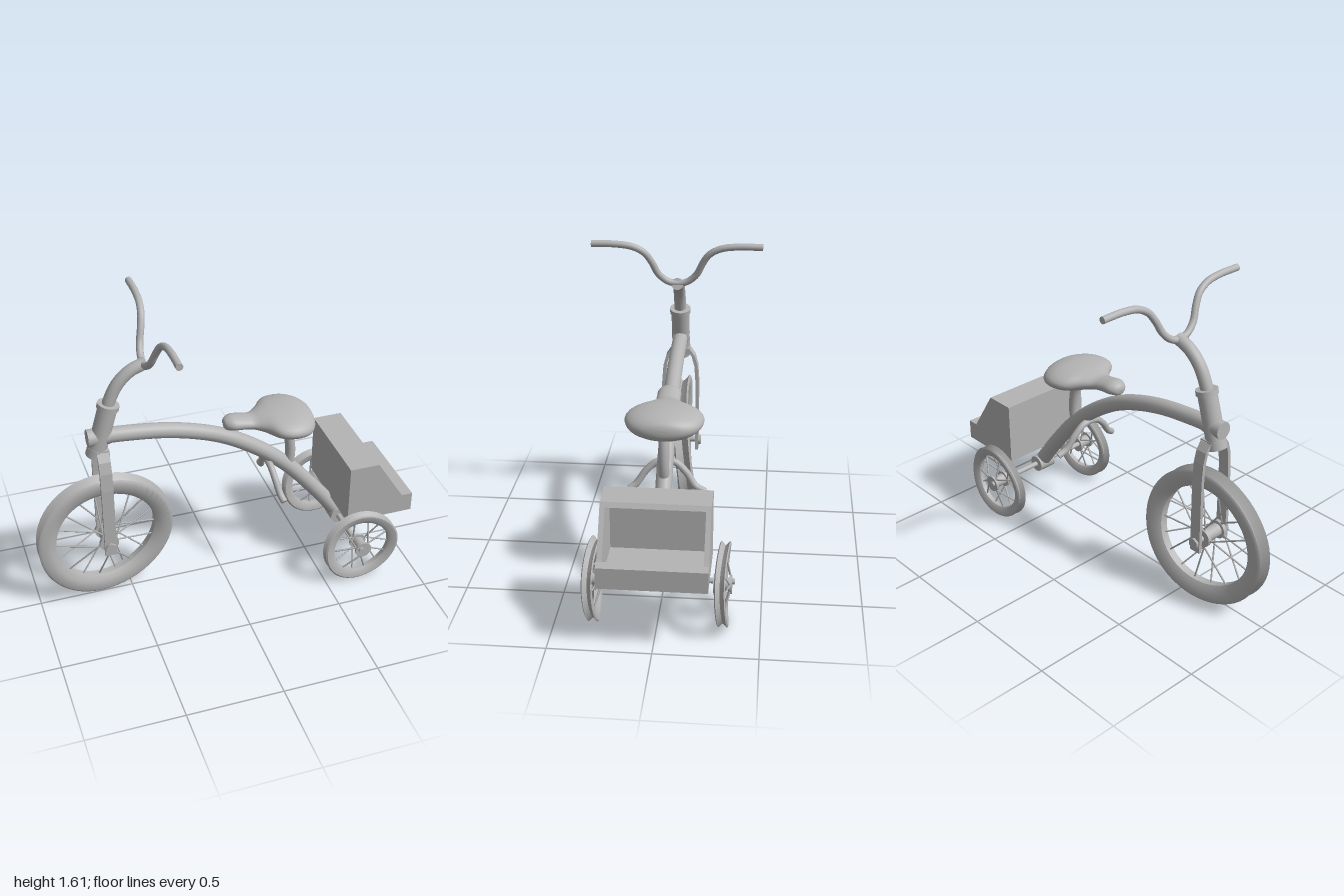
import * as THREE from 'three';
import { toCreasedNormals } from 'three/addons/utils/BufferGeometryUtils.js';

const grey = new THREE.MeshStandardMaterial({ color: 0xb4b4b4, side: THREE.DoubleSide });
grey.name = 'plain grey';
const V = (x, y, z = 0) => new THREE.Vector3(x, y, z);

function add(parent, name, geometry) {
  const mesh = new THREE.Mesh(geometry, grey);
  mesh.name = name;
  parent.add(mesh);
  return mesh;
}

// Straight round bar between two points
function rod(parent, name, a, b, r, r2 = r, sides = 20) {
  const mesh = add(parent, name, new THREE.CylinderGeometry(r2, r, a.distanceTo(b), sides));
  mesh.position.copy(a).add(b).multiplyScalar(0.5);
  mesh.quaternion.setFromUnitVectors(V(0, 1, 0), b.clone().sub(a).normalize());
  return mesh;
}

// Bent tube with flat end caps
function pipe(parent, name, points, r, segments = 48) {
  const curve = new THREE.CatmullRomCurve3(points);
  add(parent, name, new THREE.TubeGeometry(curve, segments, r, 16));
  for (const [t, sign] of [[0, -1], [1, 1]]) {
    const cap = add(parent, name + 'End', new THREE.CircleGeometry(r, 16));
    cap.position.copy(curve.getPointAt(t));
    cap.quaternion.setFromUnitVectors(V(0, 0, 1), curve.getTangentAt(t).multiplyScalar(sign));
  }
}

// Slightly buckled wheel: grooved rim, hub and laced spokes
function wheel(name, R, inner, halfWidth, hubR, hubHalf, spokes, bend) {
  const group = new THREE.Group();
  group.name = name;
  const w = halfWidth, d = R - inner;
  const profile = [[inner, -w * 0.45], [inner + d * 0.3, -w * 0.85], [R - d * 0.15, -w], [R, -w * 0.8],
    [R - d * 0.25, -w * 0.35], [R - d * 0.4, 0], [R - d * 0.25, w * 0.35], [R, w * 0.8],
    [R - d * 0.15, w], [inner + d * 0.3, w * 0.85], [inner, w * 0.45], [inner, -w * 0.45]];
  const rim = new THREE.LatheGeometry(profile.map(p => new THREE.Vector2(...p)), 56);
  rim.rotateX(Math.PI / 2);
  const p = rim.attributes.position;
  for (let i = 0; i < p.count; i++) p.setZ(i, p.getZ(i) + bend(Math.atan2(p.getY(i), p.getX(i))));
  add(group, 'rim', toCreasedNormals(rim, 0.7));
  rod(group, 'hub', V(0, 0, -hubHalf), V(0, 0, hubHalf), hubR * 0.7);
  for (const s of [-1, 1]) {
    rod(group, 'hubFlange', V(0, 0, s * hubHalf * 0.7), V(0, 0, s * hubHalf), hubR);
  }
  for (let i = 0; i < spokes; i++) {
    const a = i / spokes * Math.PI * 2, s = i % 2 ? 1 : -1, b = a + (i % 4 < 2 ? 0.6 : -0.6);
    rod(group, 'spoke', V(Math.cos(b) * hubR * 0.8, Math.sin(b) * hubR * 0.8, s * hubHalf * 0.85),
      V(Math.cos(a) * (inner + 0.01), Math.sin(a) * (inner + 0.01), bend(a)), 0.0045, 0.0045, 6);
  }
  return group;
}

// Saddle lofted from elliptical sections: x, half width, bottom, top
function saddleGeometry() {
  const sections = [[0.015, 0.004, 0.945, 0.955], [0.025, 0.035, 0.92, 0.975], [0.06, 0.058, 0.912, 0.988],
    [0.12, 0.06, 0.908, 0.98], [0.17, 0.066, 0.9, 0.972], [0.22, 0.105, 0.887, 0.982],
    [0.27, 0.168, 0.872, 0.99], [0.32, 0.192, 0.862, 0.993], [0.38, 0.192, 0.855, 0.992],
    [0.44, 0.165, 0.853, 0.98], [0.48, 0.11, 0.868, 0.96], [0.495, 0.05, 0.89, 0.935], [0.498, 0.004, 0.909, 0.913]];
  const smooth = new THREE.CatmullRomCurve3(sections.map(s => V(s[0], s[1], s[2])));
  const tops = new THREE.CatmullRomCurve3(sections.map(s => V(s[0], s[1], s[3])));
  const rows = 48, cols = 32, pos = [], idx = [];
  for (let i = 0; i <= rows; i++) {
    const a = smooth.getPoint(i / rows), top = tops.getPoint(i / rows).z;
    for (let j = 0; j < cols; j++) {
      const t = j / cols * Math.PI * 2;
      pos.push(a.x, (a.z + top) / 2 + Math.sin(t) * (top - a.z) / 2, Math.cos(t) * Math.max(a.y, 0.002));
      if (i < rows) {
        const m = i * cols + j, n = i * cols + (j + 1) % cols;
        idx.push(m, m + cols, n, n, m + cols, n + cols);
      }
    }
  }
  const g = new THREE.BufferGeometry();
  g.setAttribute('position', new THREE.Float32BufferAttribute(pos, 3));
  g.setIndex(idx);
  g.computeVertexNormals();
  return g;
}

// Flat profile extruded across z
function slab(parent, name, points, z0, z1) {
  const shape = new THREE.Shape(points.map(p => new THREE.Vector2(...p)));
  const mesh = add(parent, name, new THREE.ExtrudeGeometry(shape, { depth: z1 - z0, bevelEnabled: false }));
  mesh.position.z = z0;
}

export function createModel() {
  const model = new THREE.Group();
  model.name = 'tricycle';

  // Wheels
  const front = wheel('frontWheel', 0.365, 0.27, 0.045, 0.05, 0.065, 18,
    a => -0.03 * (1 + Math.cos(a + 0.5)) + 0.012 * Math.sin(2 * a));
  front.position.set(-0.625, 0.387, 0.01);
  model.add(front);
  for (const s of [-1, 1]) {
    const rear = wheel('rearWheel', 0.208, 0.155, 0.026, 0.045, 0.045, 14, a => 0.008 * Math.sin(2 * a + 0.6));
    rear.position.set(0.69, 0.222, s * 0.313);
    model.add(rear);
  }
  rod(model, 'rearAxle', V(0.675, 0.23, -0.37), V(0.675, 0.23, 0.37), 0.014);
  rod(model, 'rearAxleBushing', V(0.675, 0.23, -0.05), V(0.675, 0.23, 0.05), 0.045);

  // Arched frame tube
  pipe(model, 'frameTube', [V(-0.62, 1.01), V(-0.5, 1.002), V(-0.25, 0.967), V(0, 0.885), V(0.2, 0.765),
    V(0.37, 0.62), V(0.55, 0.41), V(0.68, 0.235)], 0.041, 64);
  rod(model, 'frameSocket', V(-0.69, 1.01), V(-0.58, 1.008), 0.045);

  // Steering head and stem
  rod(model, 'steeringHead', V(-0.645, 0.93), V(-0.573, 1.18), 0.049);
  rod(model, 'upperCollar', V(-0.577, 1.165), V(-0.571, 1.19), 0.056);
  rod(model, 'lowerCollar', V(-0.652, 0.9), V(-0.638, 0.945), 0.053);
  pipe(model, 'handlebarStem', [V(-0.585, 1.14), V(-0.565, 1.21), V(-0.52, 1.295), V(-0.455, 1.355), V(-0.375, 1.387)], 0.032);

  // Handlebar sweeping up to both sides
  const half = [[0, 1.387], [0.05, 1.397], [0.1, 1.44], [0.135, 1.51], [0.17, 1.56], [0.23, 1.593], [0.32, 1.606], [0.445, 1.606]];
  const barPoint = s => ([z, y]) => V(-0.39 + (y - 1.387) * 0.25, y, s * z);
  pipe(model, 'handlebar', [...half.slice(1).reverse().map(barPoint(-1)), ...half.map(barPoint(1))], 0.018, 80);

  // Fork: flat bars curving in to the crown
  for (const s of [-1, 1]) {
    const side = [[0.085, 0.33], [0.085, 0.74], [0.078, 0.84], [0.062, 0.9], [0.035, 0.94]];
    const outline = [...side.map(([z, y]) => [s * (z + 0.018), y]), ...side.reverse().map(([z, y]) => [s * z, y])];
    const shape = new THREE.Shape(outline.map(p => new THREE.Vector2(...p)));
    const leg = add(model, 'forkLeg', new THREE.ExtrudeGeometry(shape, { depth: 0.062, bevelEnabled: false }));
    leg.rotation.y = -Math.PI / 2;
    leg.position.x = -0.594;
    rod(model, 'axleNut', V(-0.625, 0.38, s * 0.1), V(-0.625, 0.38, s * 0.116), 0.03, 0.03, 6);
  }
  add(model, 'forkCrown', new THREE.BoxGeometry(0.07, 0.035, 0.1)).position.set(-0.625, 0.93, 0);
  rod(model, 'frontAxle', V(-0.625, 0.385, -0.11), V(-0.625, 0.385, 0.11), 0.018);

  // Saddle, post and bent peg bar
  add(model, 'saddle', saddleGeometry());
  pipe(model, 'saddlePost', [V(0.345, 0.885), V(0.372, 0.83), V(0.388, 0.75), V(0.39, 0.67), V(0.375, 0.6)], 0.027);
  pipe(model, 'pegBar', [V(0.295, 0.515, -0.2), V(0.285, 0.54, -0.15), V(0.272, 0.61, -0.1), V(0.265, 0.66, -0.04),
    V(0.265, 0.66, 0.04), V(0.272, 0.61, 0.1), V(0.285, 0.54, 0.15), V(0.295, 0.515, 0.185)], 0.018);

  // Rear carrier box, open along its slope
  const box = new THREE.Group();
  box.name = 'carrierBox';
  model.add(box);
  const wall = [[0.63, 0.353], [1, 0.353], [1, 0.46], [0.94, 0.46], [0.79, 0.693], [0.63, 0.693]];
  slab(box, 'leftWall', wall, 0.235, 0.26);
  slab(box, 'rightWall', wall, -0.26, -0.235);
  slab(box, 'shell', [[0.63, 0.353], [1, 0.353], [1, 0.46], [0.94, 0.46], [0.92, 0.44], [0.92, 0.375], [0.652, 0.375],
    [0.652, 0.67], [0.805, 0.67], [0.79, 0.693], [0.63, 0.693]], -0.235, 0.235);
  return model;
}
